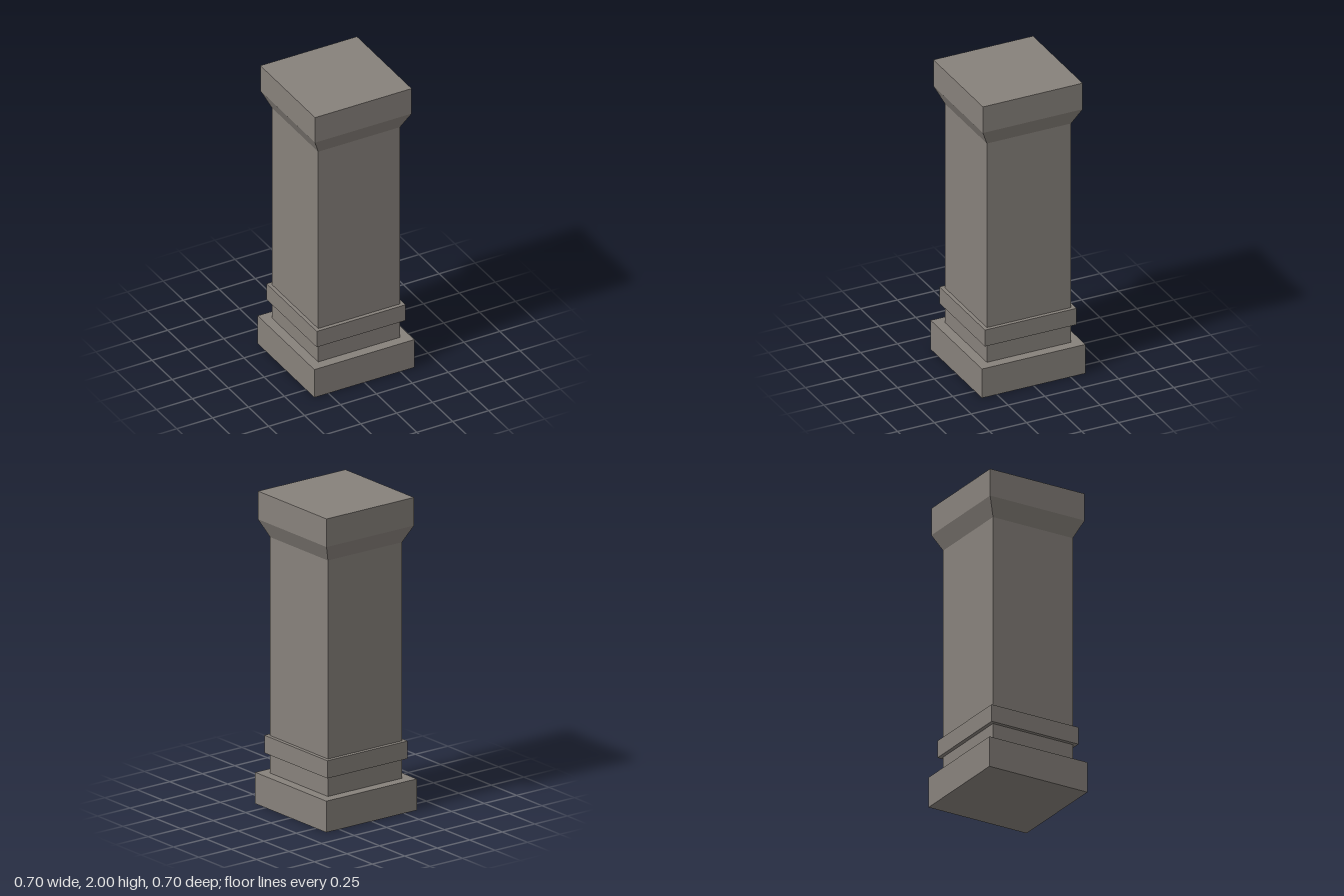
import * as THREE from 'three';

export function createModel() {
  const model = new THREE.Group();
  model.name = 'pillar';
  const stone = new THREE.MeshStandardMaterial({ color: 0x87817b });
  stone.name = 'warm grey stone';

  // Square block from y0 to y1; the bottom may be narrower than the top
  function block(name, y0, y1, width, depth, bottomWidth = width, bottomDepth = depth) {
    const geometry = new THREE.BoxGeometry(width, y1 - y0, depth);
    const p = geometry.attributes.position;
    for (let i = 0; i < p.count; i++) {
      if (p.getY(i) < 0) {
        p.setX(i, Math.sign(p.getX(i)) * bottomWidth / 2);
        p.setZ(i, Math.sign(p.getZ(i)) * bottomDepth / 2);
      }
    }
    geometry.computeVertexNormals();
    const mesh = new THREE.Mesh(geometry, stone);
    mesh.name = name;
    mesh.position.y = (y0 + y1) / 2;
    model.add(mesh);
  }

  block('base', 0, 0.2, 0.696, 0.702);
  block('shaft', 0.2, 1.71, 0.57, 0.572);
  block('band', 0.327, 0.44, 0.618, 0.622);
  block('flare', 1.71, 1.82, 0.673, 0.677, 0.57, 0.572);
  block('capital', 1.82, 2, 0.673, 0.677);

  return model;
}
